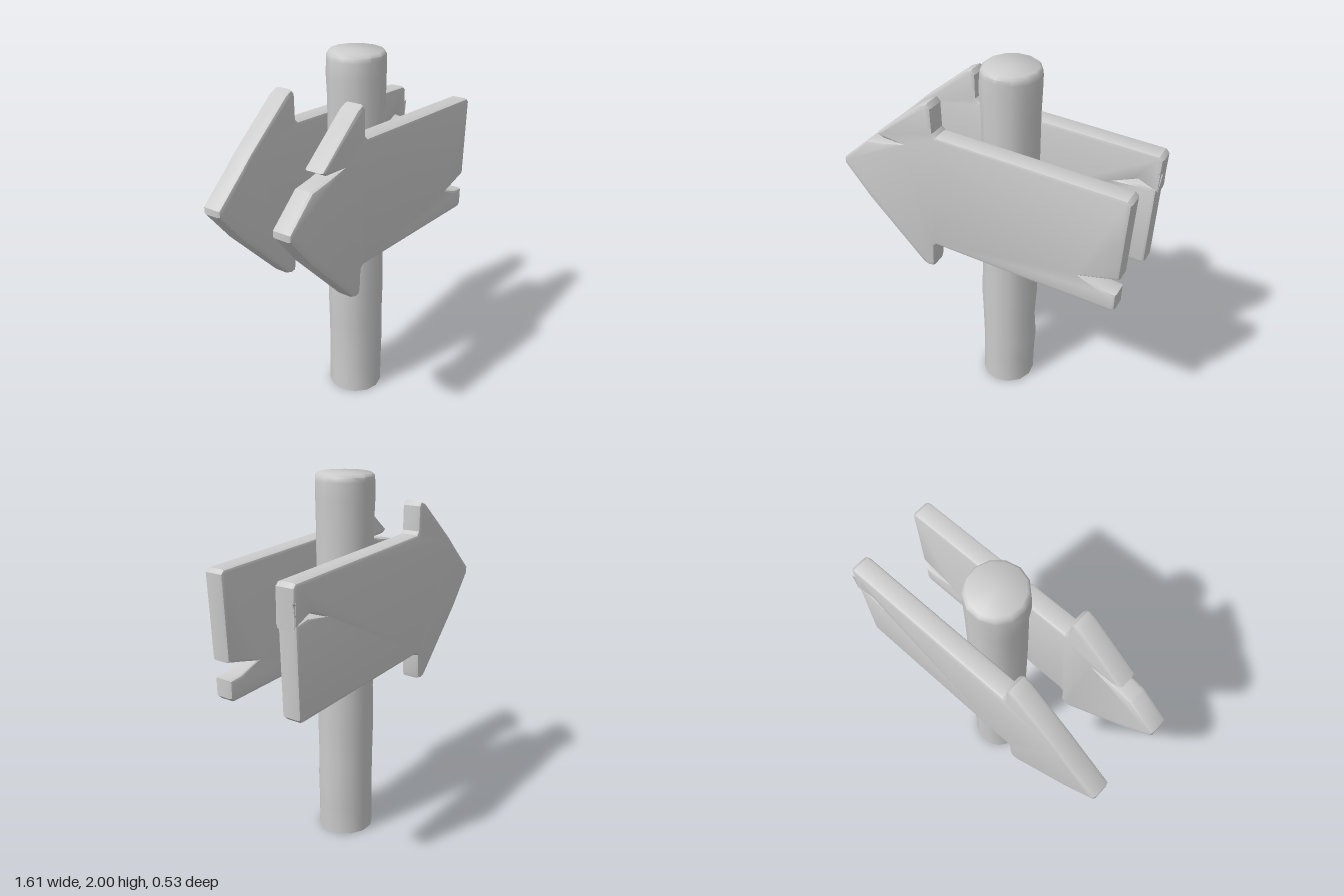
import * as THREE from 'three';
import { toCreasedNormals } from 'three/addons/utils/BufferGeometryUtils.js';

const material = new THREE.MeshStandardMaterial({ color: 0xcccccc });
const BEVEL = 0.018;
const POST_X = 0.06;

// Post rows: height, reach towards -x, reach towards +x
const postRows = [
  [0, 0.148, 0.152], [0.15, 0.146, 0.154], [0.3, 0.143, 0.162], [0.45, 0.148, 0.15],
  [0.63, 0.157, 0.16], [0.85, 0.147, 0.151], [1.0, 0.15, 0.152], [1.35, 0.15, 0.15],
  [1.75, 0.144, 0.148], [1.88, 0.159, 0.152], [1.96, 0.153, 0.153], [1.985, 0.148, 0.15], [2, 0.132, 0.136],
];

function createPost() {
  const depth = (y) => (y === 2 ? 0.138 : 0.153);
  const profile = postRows.map(([y]) => new THREE.Vector2(depth(y), y));
  profile.unshift(new THREE.Vector2(0, 0));
  profile.push(new THREE.Vector2(0, 2));
  const geometry = new THREE.LatheGeometry(profile, 13);
  // Knotty sides: stretch each row separately to its left and right
  const p = geometry.attributes.position;
  for (let i = 0; i < p.count; i++) {
    const y = p.getY(i);
    const [, left, right] = postRows.find((row) => Math.abs(row[0] - y) < 1e-4);
    const x = p.getX(i);
    p.setX(i, POST_X + (x * (x < 0 ? left : right)) / depth(postRows.find((row) => Math.abs(row[0] - y) < 1e-4)[0]));
  }
  const post = new THREE.Mesh(toCreasedNormals(geometry, 0.85), material);
  post.name = 'post';
  return post;
}

// Arrow board outline, counter-clockwise, with optional splits in the head and the end
function createBoard(name, z, headSplit, endSplit) {
  const outline = [
    [-0.235, 1.815], [-0.255, 1.84], [-0.3, 1.82], [-0.57, 1.6], ...headSplit,
    [-0.64, 1.535], [-0.803, 1.39], [-0.803, 1.355], [-0.66, 1.18],
    [-0.335, 0.85], [-0.305, 0.84], [-0.275, 0.845], [-0.268, 0.87],
    [-0.262, 0.985], [-0.245, 1.0],
    [0.755, 0.957], [0.775, 0.975], ...endSplit,
    [0.79, 1.4], [0.798, 1.6], [0.778, 1.62],
    [-0.215, 1.668], [-0.232, 1.685],
  ].map(([x, y]) => new THREE.Vector2(x, y));
  const depth = 0.11;
  const geometry = new THREE.ExtrudeGeometry(new THREE.Shape(outline), {
    depth: depth - 2 * BEVEL,
    bevelThickness: BEVEL,
    bevelSize: BEVEL,
    bevelOffset: -BEVEL,
    bevelSegments: 2,
  });
  geometry.translate(0, 0, z - depth / 2 + BEVEL);
  const board = new THREE.Mesh(toCreasedNormals(geometry, 0.6), material);
  board.name = name;
  return board;
}

export function createModel() {
  const group = new THREE.Group();
  group.name = 'signpost';
  group.add(createPost());
  group.add(createBoard('frontArrowBoard', 0.212,
    [[-0.53, 1.578], [-0.42, 1.576], [-0.53, 1.552]],
    [[0.775, 1.07], [0.7, 1.08], [0.59, 1.12], [0.782, 1.165]]));
  group.add(createBoard('backArrowBoard', -0.213, [],
    [[0.785, 1.43], [0.7, 1.445], [0.58, 1.425], [0.68, 1.462], [0.792, 1.515]]
      .map(([x, y]) => [x, y]), ));
  // The split of the back board sits above the middle of its end edge
  return group;
}
